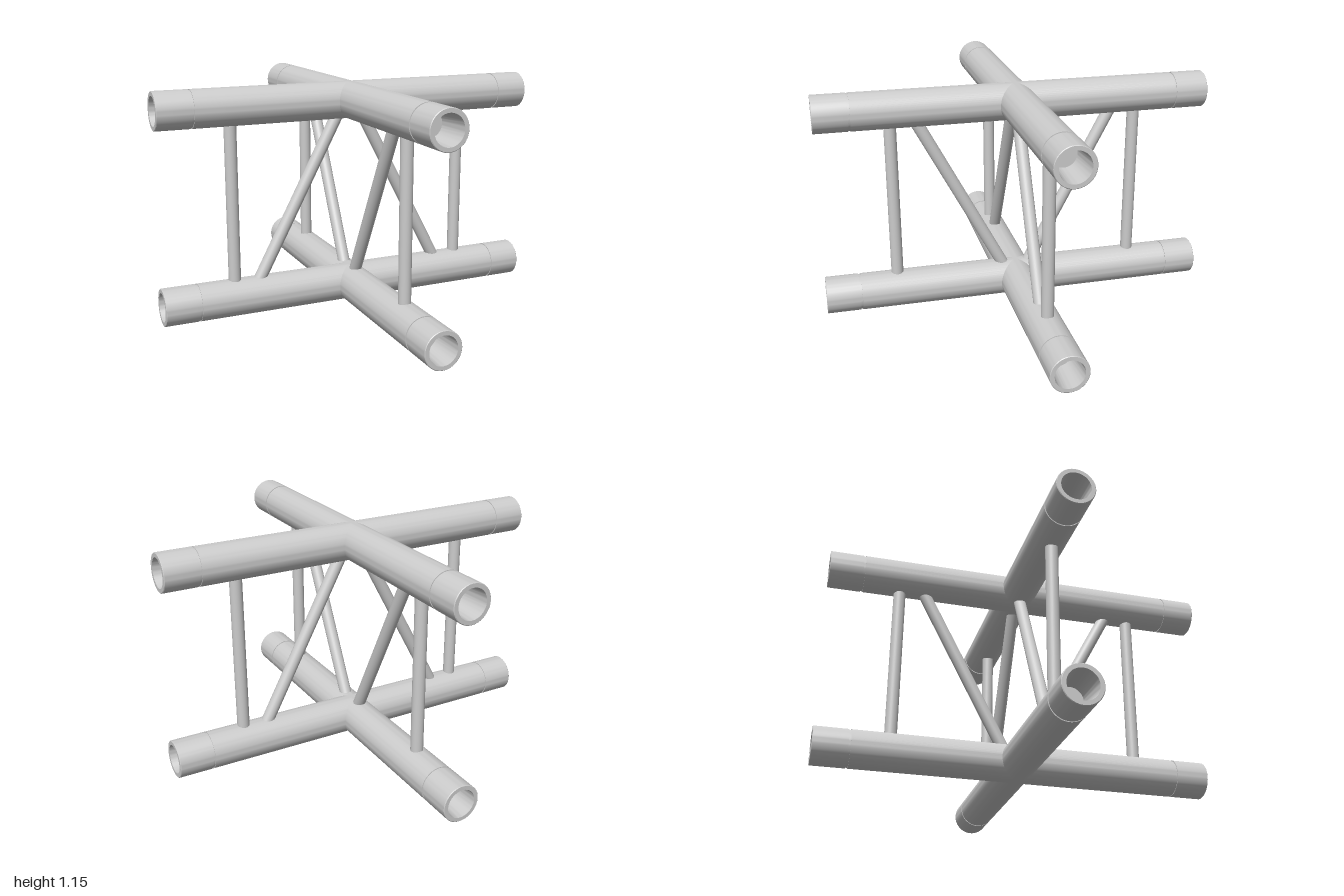
import * as THREE from 'three';
import { toCreasedNormals } from 'three/addons/utils/BufferGeometryUtils.js';

const R = 0.094, LOW = 0.096, HIGH = 1.062, BRACE = 0.031;
const UP = new THREE.Vector3(0, 1, 0);

export function createModel() {
  const group = new THREE.Group();
  const material = new THREE.MeshStandardMaterial({ color: 0xcccccc });

  const add = (name, geometry) => {
    const mesh = new THREE.Mesh(geometry, material);
    mesh.name = name;
    group.add(mesh);
    return mesh;
  };

  // Half profile of a chord: tapered socket, rim, coupler sleeve, seam groove
  const half = [
    [0, 0.83], [0.061, 0.83], [0.072, 1], [0.091, 1], [R, 0.997],
    [R, 0.831], [R - 0.004, 0.831], [R - 0.004, 0.821], [R, 0.821],
  ];
  const profile = [
    ...half.map(([r, y]) => new THREE.Vector2(r, -y)),
    ...half.slice().reverse().map(([r, y]) => new THREE.Vector2(r, y)),
  ];
  const chordGeometry = toCreasedNormals(new THREE.LatheGeometry(profile, 64), 0.4);

  // Two crossing chords on each level
  for (const [level, y] of [['lower', LOW], ['upper', HIGH]]) {
    const alongX = add(level + 'ChordX', chordGeometry);
    alongX.rotation.z = Math.PI / 2;
    alongX.position.y = y;
    const alongZ = add(level + 'ChordZ', chordGeometry);
    alongZ.rotation.x = Math.PI / 2;
    alongZ.position.y = y;
  }

  // Round bar between two points
  const bar = (name, a, b) => {
    const mesh = add(name, new THREE.CylinderGeometry(BRACE, BRACE, a.distanceTo(b), 32, 1, true));
    mesh.position.copy(a).add(b).multiplyScalar(0.5);
    mesh.quaternion.setFromUnitVectors(UP, b.clone().sub(a).normalize());
  };

  // Each arm has an upright and a diagonal; diagonals meet at the top along x,
  // at the bottom along z
  const arms = [['left', 1, 0], ['right', -1, 0], ['front', 0, 1], ['back', 0, -1]];
  for (const [side, dx, dz] of arms) {
    const at = (d, y) => new THREE.Vector3(dx * d, y, dz * d);
    bar(side + 'Upright', at(0.63, LOW + 0.07), at(0.63, HIGH - 0.07));
    const [bottom, top] = dx ? [0.503, 0.066] : [0.066, 0.503];
    bar(side + 'Diagonal', at(bottom, LOW + 0.07), at(top, HIGH - 0.07));
  }

  return group;
}
